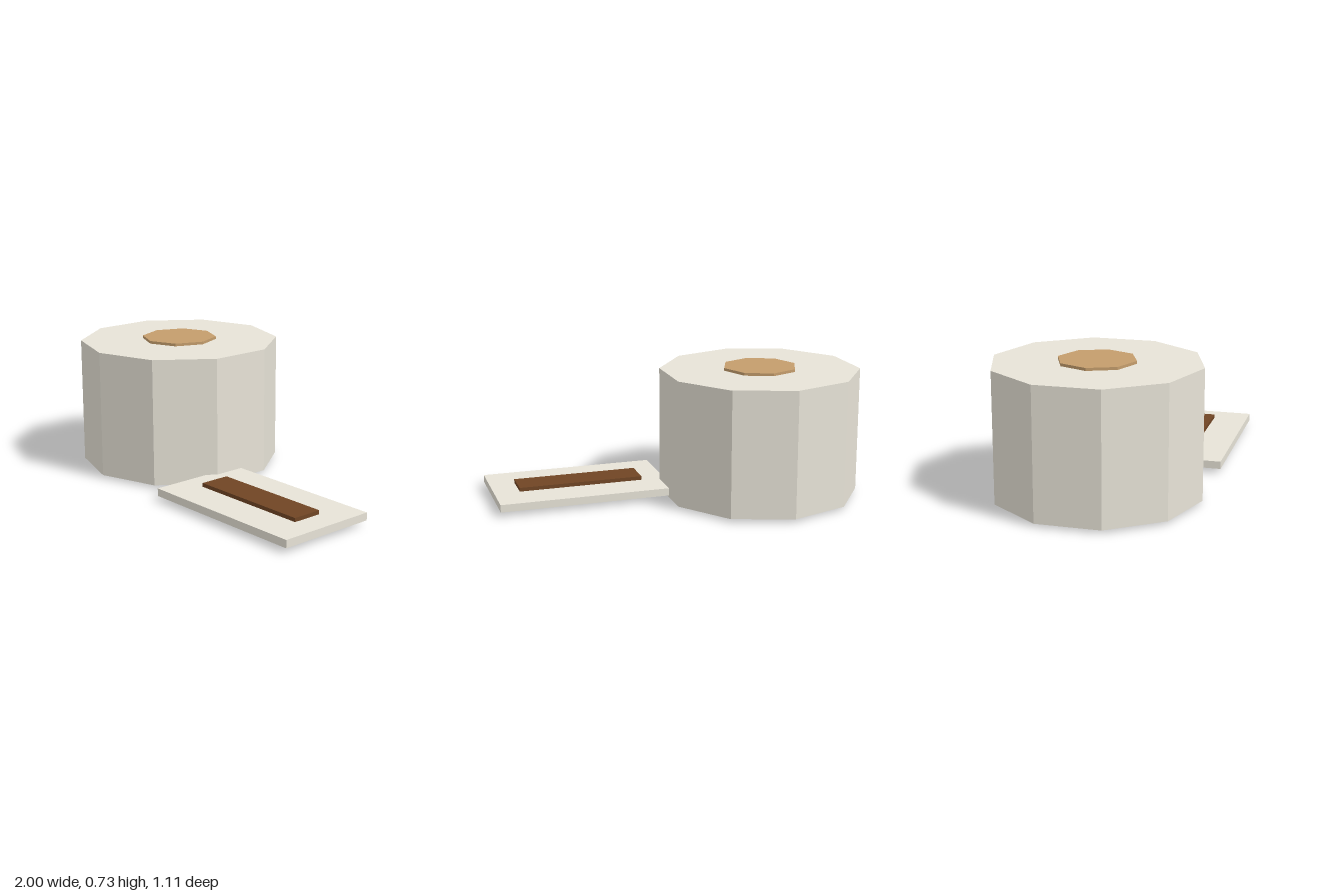
import * as THREE from 'three';

const flat = (name, color) => {
  const m = new THREE.MeshStandardMaterial({ color, flatShading: true });
  m.name = name;
  return m;
};

export function createModel() {
  const model = new THREE.Group();
  model.name = 'paperRoll';
  const paper = flat('paper', 0xe8e4d8);
  const cardboard = flat('cardboard', 0xc49d6c);
  const brown = flat('darkBrown', 0x704524);

  const add = (name, geometry, material, x, y, z) => {
    const mesh = new THREE.Mesh(geometry, material);
    mesh.name = name;
    mesh.position.set(x, y, z);
    model.add(mesh);
  };

  // Upright roll with its core showing at both ends
  add('roll', new THREE.CylinderGeometry(0.557, 0.557, 0.698, 10), paper, -0.47, 0.364, 0);
  add('core', new THREE.CylinderGeometry(0.209, 0.209, 0.728, 8), cardboard, -0.47, 0.364, 0);

  // Loose sheet lying beside the roll, with a raised strip on it
  add('sheet', new THREE.BoxGeometry(0.976, 0.042, 0.557), paper, 0.512, 0.045, 0.2785);
  add('strip', new THREE.BoxGeometry(0.698, 0.028, 0.167), brown, 0.51, 0.073, 0.279);

  return model;
}
